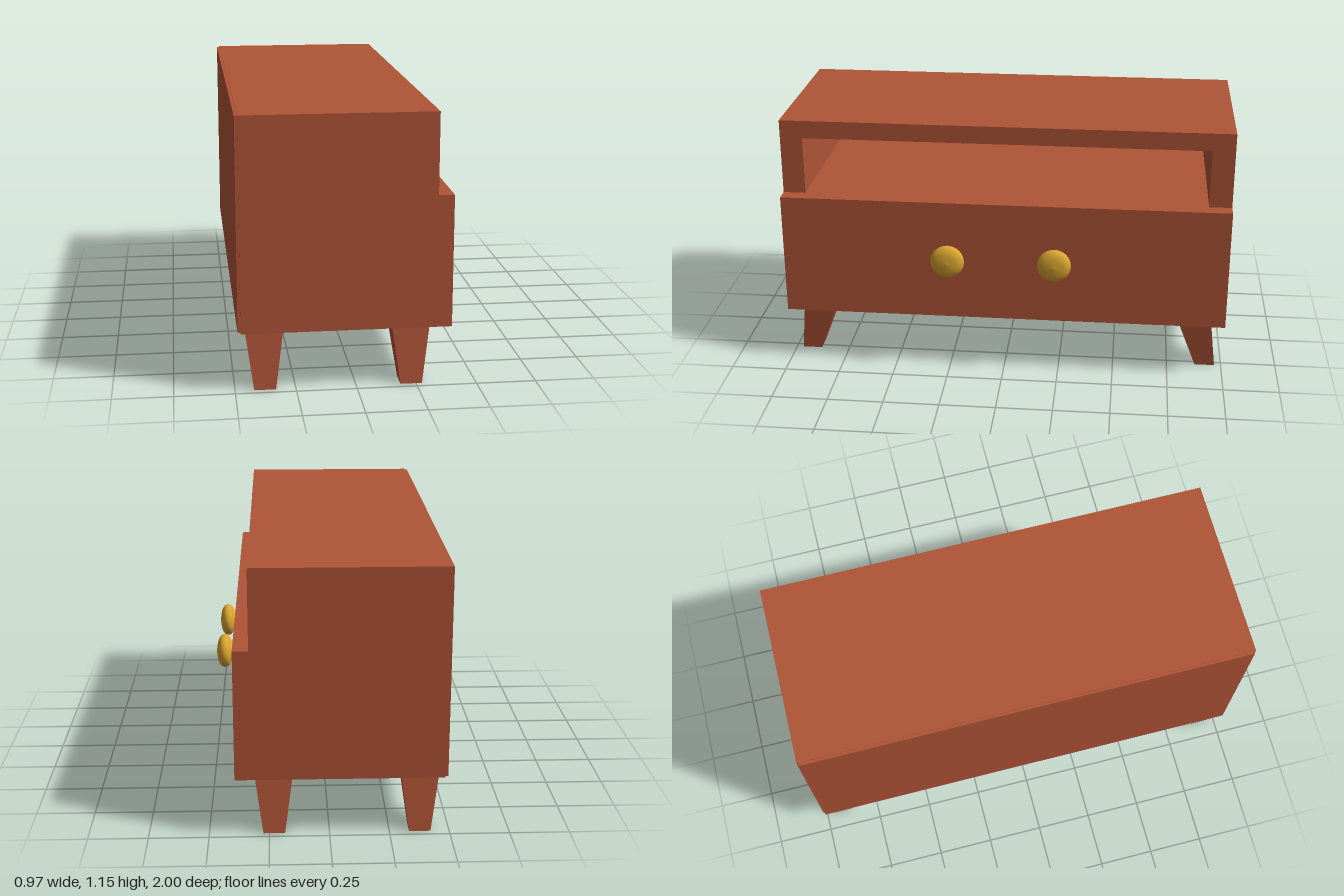
import * as THREE from 'three';

const wood = new THREE.MeshStandardMaterial({ color: 0xb05437, flatShading: true });
const brass = new THREE.MeshStandardMaterial({ color: 0xdaa530 });

const BACK = -0.475, FRONT = 0.39, BASE = 0.255, SHELF = 0.81, TOP = 1.15;

function add(group, name, geometry, material = wood) {
  const mesh = new THREE.Mesh(geometry, material);
  mesh.name = name;
  group.add(mesh);
  return mesh;
}

// Box given by its limits on each axis
function box(x0, x1, y0, y1, z0, z1) {
  return new THREE.BoxGeometry(x1 - x0, y1 - y0, z1 - z0)
    .translate((x0 + x1) / 2, (y0 + y1) / 2, (z0 + z1) / 2);
}

// Outline of [z, y] points, extruded along x from x0 to x1
const outline = (pts) => pts.map(([z, y]) => new THREE.Vector2(-z, y));
function slab(pts, holes, x0, x1) {
  const shape = new THREE.Shape(outline(pts));
  shape.holes = holes.map((h) => new THREE.Path(outline(h)));
  return new THREE.ExtrudeGeometry(shape, { depth: x1 - x0, bevelEnabled: false })
    .rotateY(Math.PI / 2).translate(x0, 0, 0);
}

// Square leg, tapered and splayed outward; side is +1 or -1 along z
function leg(x, side) {
  const geo = new THREE.BoxGeometry(1, BASE, 1).translate(0, BASE / 2, 0);
  const p = geo.attributes.position;
  for (let i = 0; i < p.count; i++) {
    const top = p.getY(i) > 0.1;
    p.setX(i, x + p.getX(i) * (top ? 0.16 : 0.09));
    p.setZ(i, side * (top ? 0.8625 : 0.925) + p.getZ(i) * (top ? 0.155 : 0.09));
  }
  geo.computeVertexNormals();
  return geo;
}

export function createModel() {
  const model = new THREE.Group();
  model.name = 'cabinet';

  // Lower case with an open shelf above it
  const skin = 0.02;
  add(model, 'lowerCase', box(BACK, FRONT - skin, BASE, SHELF, -1, 1));
  add(model, 'shelfSurround', slab([
    [1, SHELF], [1, TOP], [-1, TOP], [-1, SHELF],
    [-0.9, SHELF], [-0.9, 1.07], [0.9, 1.07], [0.9, SHELF],
  ], [], -0.44, 0.325));
  add(model, 'shelfBack', box(BACK, -0.44, SHELF, TOP, -1, 1));
  add(model, 'backPanel', box(-0.487, BACK, BASE + 0.003, TOP - 0.003, -0.992, 0.992));

  // Front with two slightly crooked, stepped door recesses
  const face = [[1, BASE], [1, SHELF], [-1, SHELF], [-1, BASE]];
  const outer = [
    [[0.92, 0.74], [0.065, 0.73], [0.09, 0.32], [0.925, 0.312]],
    [[-0.065, 0.72], [-0.897, 0.737], [-0.925, 0.325], [-0.06, 0.332]],
  ];
  const inner = [
    [[0.885, 0.698], [0.105, 0.685], [0.13, 0.363], [0.88, 0.357]],
    [[-0.11, 0.677], [-0.855, 0.692], [-0.885, 0.362], [-0.1, 0.37]],
  ];
  add(model, 'doorMoulding', slab(face, inner, FRONT - skin, FRONT - 0.008));
  add(model, 'doorFrame', slab(face, outer, FRONT - 0.008, FRONT));

  // Round knobs, turned about x
  const profile = new THREE.SplineCurve([
    [0.037, 0.03], [0.037, 0.045], [0.05, 0.062], [0.068, 0.073], [0.075, 0.09],
    [0.068, 0.107], [0.045, 0.12], [0, 0.127],
  ].map(([r, h]) => new THREE.Vector2(r, h))).getPoints(28);
  profile[profile.length - 1].x = 0;
  profile.unshift(new THREE.Vector2(0.037, 0));
  const knobGeo = new THREE.LatheGeometry(profile, 32).rotateZ(-Math.PI / 2);
  [['leftKnob', -0.23], ['rightKnob', 0.245]].forEach(([name, z]) => {
    add(model, name, knobGeo, brass).position.set(FRONT - 0.032, 0.555, z);
  });

  // Four legs
  for (const [xName, x] of [['back', -0.377], ['front', 0.23]]) {
    for (const side of [-1, 1]) {
      add(model, `${xName}${side > 0 ? 'Right' : 'Left'}Leg`, leg(x, side));
    }
  }
  return model;
}
